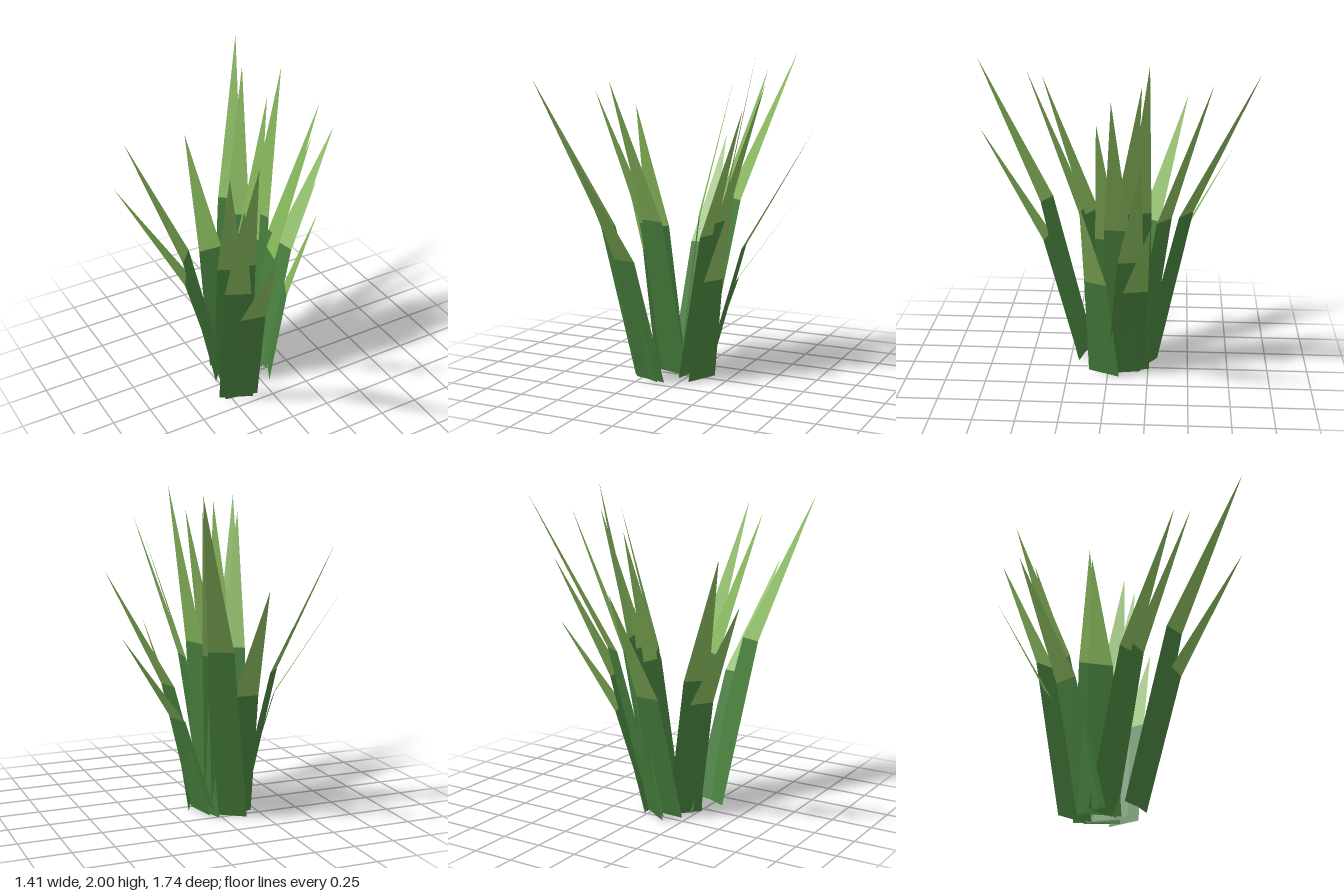
import * as THREE from 'three';

// Each blade: base centre x, z, then mid (bend) centre x, z, then tip x, y, z
const BLADES = [
  // front cluster
  [-0.22, 0.16, -0.34, 0.415, -0.55, 1.87, 0.87],
  [-0.187, 0.17, -0.237, 0.405, -0.33, 1.465, 0.83],
  [-0.12, -0.02, -0.17, 0.17, -0.262, 1.85, 0.52],
  [-0.14, -0.06, -0.23, 0.12, -0.397, 1.79, 0.44],
  // right-hand cluster
  [-0.18, -0.102, -0.36, -0.22, -0.71, 1.375, -0.42],
  [-0.19, -0.12, -0.34, -0.25, -0.61, 1.635, -0.476],
  // back cluster
  [-0.11, -0.195, -0.095, -0.395, -0.077, 1.437, -0.75],
  [-0.056, -0.245, 0.095, -0.47, 0.365, 1.97, -0.87],
  [-0.03, -0.19, 0.075, -0.34, 0.266, 1.88, -0.61],
  // left-hand cluster
  [0.075, -0.1, 0.3, -0.145, 0.7, 1.525, -0.22],
  [0.045, -0.12, 0.25, -0.175, 0.618, 1.14, -0.268],
  [0.02, -0.07, 0.18, -0.06, 0.47, 1.82, -0.04],
  [-0.017, -0.03, 0.12, 0, 0.365, 1.67, 0.05],
  [0.095, 0.025, 0.19, 0.07, 0.357, 1.19, 0.15],
  [0.05, -0.156, 0.15, -0.19, 0.33, 2, -0.25],
  [-0.092, -0.055, 0.02, -0.1, 0.207, 1.855, -0.203],
];

const BASE_HALF = 0.107;
const MID_HALF = 0.077;
const BEND = 0.537; // bend height as a share of the tip height

// Flat panel from a fan of corners
function panel(corners, material, name) {
  const positions = [];
  for (let i = 1; i < corners.length - 1; i++) {
    for (const c of [corners[0], corners[i], corners[i + 1]]) positions.push(c.x, c.y, c.z);
  }
  const geometry = new THREE.BufferGeometry();
  geometry.setAttribute('position', new THREE.Float32BufferAttribute(positions, 3));
  geometry.computeVertexNormals();
  const mesh = new THREE.Mesh(geometry, material);
  mesh.name = name;
  return mesh;
}

export function createModel() {
  const stalkGreen = new THREE.MeshStandardMaterial({ color: 0x467d3c, side: THREE.DoubleSide });
  stalkGreen.name = 'dark leaf green';
  const tipGreen = new THREE.MeshStandardMaterial({ color: 0x85b45a, side: THREE.DoubleSide });
  tipGreen.name = 'light leaf green';

  const group = new THREE.Group();
  group.name = 'grassTuft';

  for (const [bx, bz, mx, mz, tx, ty, tz] of BLADES) {
    const base = new THREE.Vector3(bx, 0, bz);
    const mid = new THREE.Vector3(mx, ty * BEND, mz);
    const tip = new THREE.Vector3(tx, ty, tz);
    // Horizontal direction across the blade, square to its lean
    const across = new THREE.Vector3(tz - bz, 0, bx - tx).normalize();
    const edge = (p, d) => p.clone().addScaledVector(across, d);

    const midA = edge(mid, -MID_HALF);
    const midB = edge(mid, MID_HALF);
    const blade = new THREE.Group();
    blade.name = 'blade';
    blade.add(
      panel([edge(base, -BASE_HALF), edge(base, BASE_HALF), midB, midA], stalkGreen, 'bladeStalk'),
      panel([midA, midB, tip], tipGreen, 'bladeTip'),
    );
    group.add(blade);
  }
  return group;
}
